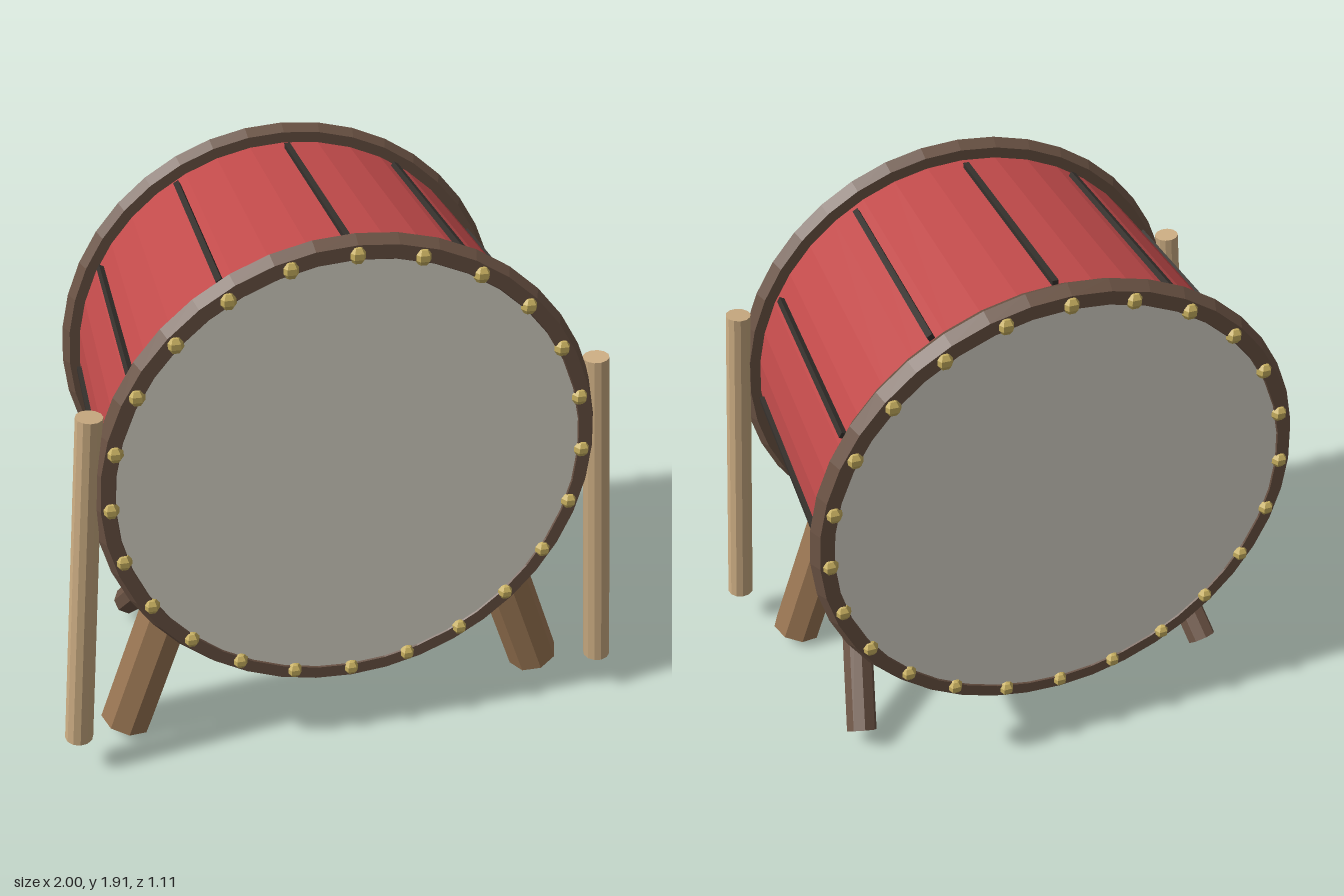
import * as THREE from 'three';

const CENTER_Y = 1.08;
const paint = (color) => new THREE.MeshStandardMaterial({ color, flatShading: true });

const red = paint(0xc04a4a);
const darkWood = paint(0x6b5344);
const legWood = paint(0x9a7653);
const stickWood = paint(0xcbac82);
const skin = paint(0xdcd8cc);
const brass = paint(0xc8b060);
const black = paint(0x35302c);

function add(parent, name, geometry, material) {
  const mesh = new THREE.Mesh(geometry, material);
  mesh.name = name;
  parent.add(mesh);
  return mesh;
}

// Round pole running between two points
function pole(parent, name, bottom, top, rBottom, rTop, sides, material) {
  const a = new THREE.Vector3(...bottom);
  const b = new THREE.Vector3(...top);
  const dir = b.clone().sub(a);
  const mesh = add(parent, name, new THREE.CylinderGeometry(rTop, rBottom, dir.length(), sides), material);
  mesh.position.copy(a).add(b).multiplyScalar(0.5);
  mesh.quaternion.setFromUnitVectors(new THREE.Vector3(0, 1, 0), dir.normalize());
  return mesh;
}

export function createModel() {
  const model = new THREE.Group();
  model.name = 'drum';

  // Barrel, lying along z
  const barrel = new THREE.Group();
  barrel.name = 'barrel';
  barrel.position.y = CENTER_Y;
  model.add(barrel);

  const shellGeo = new THREE.CylinderGeometry(0.776, 0.776, 1.0, 40, 1, true).rotateX(Math.PI / 2);
  add(barrel, 'shell', shellGeo, red);

  // Dark battens along the shell
  for (let i = 0; i < 12; i++) {
    const a = (i / 12) * Math.PI * 2;
    const batten = add(barrel, 'batten', new THREE.BoxGeometry(0.02, 0.02, 0.82), black);
    batten.position.set(Math.cos(a) * 0.782, Math.sin(a) * 0.782, 0);
    batten.rotation.z = a;
  }

  // Both ends: rim, drum skin and a ring of studs
  for (const end of [1, -1]) {
    const head = new THREE.Group();
    head.name = end > 0 ? 'frontHead' : 'backHead';
    head.rotation.y = end > 0 ? 0 : Math.PI;
    barrel.add(head);

    add(head, 'rim', new THREE.TorusGeometry(0.79, 0.045, 6, 40), darkWood).position.z = 0.5;

    const skinGeo = new THREE.CylinderGeometry(0.77, 0.77, 0.04, 40).rotateX(Math.PI / 2);
    add(head, 'skin', skinGeo, skin).position.z = 0.514;

    for (let i = 0; i < 24; i++) {
      const a = (i / 24) * Math.PI * 2;
      const stud = add(head, 'stud', new THREE.SphereGeometry(0.03, 6, 5), brass);
      stud.position.set(Math.cos(a) * 0.78, Math.sin(a) * 0.78, 0.53);
    }
  }

  // Legs, rear braces and drumsticks, mirrored left and right
  for (const s of [1, -1]) {
    const side = s > 0 ? 'left' : 'right';
    pole(model, side + 'Leg', [s * 0.775, 0.033, 0.315], [s * 0.512, 0.755, 0.315], 0.093, 0.093, 8, legWood);
    pole(model, side + 'Brace', [s * 0.685, 0.07, -0.325], [s * 0.53, 0.66, 0.245], 0.055, 0.055, 8, darkWood);
    pole(model, side + 'Drumstick', [s * 0.952, 0.142, 0.488], [s * 0.818, 1.395, 0.488], 0.048, 0.043, 12, stickWood);
  }

  return model;
}
